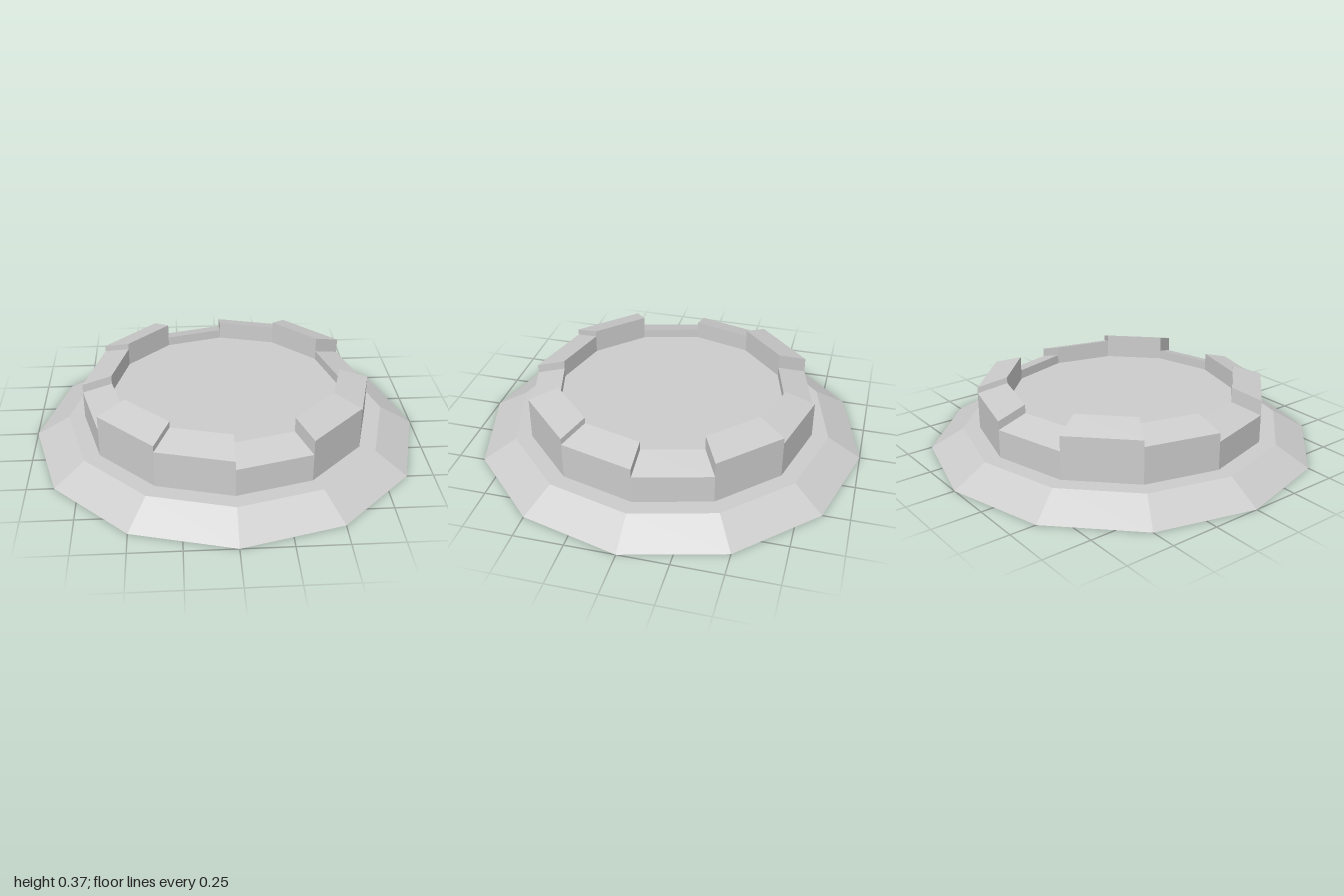
import * as THREE from 'three';

const SIDES = 12;
const STEP = (Math.PI * 2) / SIDES;
const R_OUT = 0.745, R_IN = 0.592;   // rim radii
const LEDGE = 0.1, FLOOR = 0.245;    // heights of ledge and sunken floor
const SLOPE = 0.048;                 // rise of a rim block towards the inside
const RIM_HEIGHTS = [0.245, 0.322, 0.29]; // outer heights, repeating around the rim

const material = new THREE.MeshStandardMaterial({
  color: 0xcccccc, flatShading: true, side: THREE.DoubleSide,
});

function addPart(parent, name, geometry) {
  const flat = geometry.index ? geometry.toNonIndexed() : geometry;
  flat.computeVertexNormals();
  const mesh = new THREE.Mesh(flat, material);
  mesh.name = name;
  parent.add(mesh);
}

// Faceted sweep of an [r, y] profile around the vertical axis
function sweep(profile, segments, start, length) {
  return new THREE.LatheGeometry(profile.map(([r, y]) => new THREE.Vector2(r, y)), segments, start, length);
}

// Radial face joining two neighbouring rim blocks of different height
function stepFace(angle, prev, cur) {
  const corners = [[R_IN, prev + SLOPE], [R_OUT, prev], [R_OUT, cur], [R_IN, cur + SLOPE]];
  const points = corners.map(([r, y]) => new THREE.Vector3(r * Math.sin(angle), y, r * Math.cos(angle)));
  const geometry = new THREE.BufferGeometry().setFromPoints(points);
  geometry.setIndex([0, 1, 2, 0, 2, 3]);
  return geometry;
}

export function createModel() {
  const model = new THREE.Group();
  model.name = 'roundPlatform';

  // Sloping skirt with a flat ledge, open underneath
  addPart(model, 'skirt', sweep([[1, 0], [0.83, LEDGE], [R_OUT, LEDGE]], SIDES, 0, Math.PI * 2));

  // Sunken floor
  const floor = new THREE.CircleGeometry(R_IN, SIDES);
  floor.rotateX(-Math.PI / 2).translate(0, FLOOR, 0);
  addPart(model, 'floor', floor);

  // Rim of blocks at three alternating heights
  const rim = new THREE.Group();
  rim.name = 'rim';
  model.add(rim);
  for (let k = 0; k < SIDES; k++) {
    const h = RIM_HEIGHTS[k % 3];
    const prev = RIM_HEIGHTS[(k + 2) % 3];
    const profile = [[R_OUT, LEDGE], [R_OUT, h], [R_IN, h + SLOPE], [R_IN, FLOOR]];
    addPart(rim, 'rimBlock', sweep(profile, 1, k * STEP, STEP));
    addPart(rim, 'rimStep', stepFace(k * STEP, prev, h));
  }
  return model;
}
